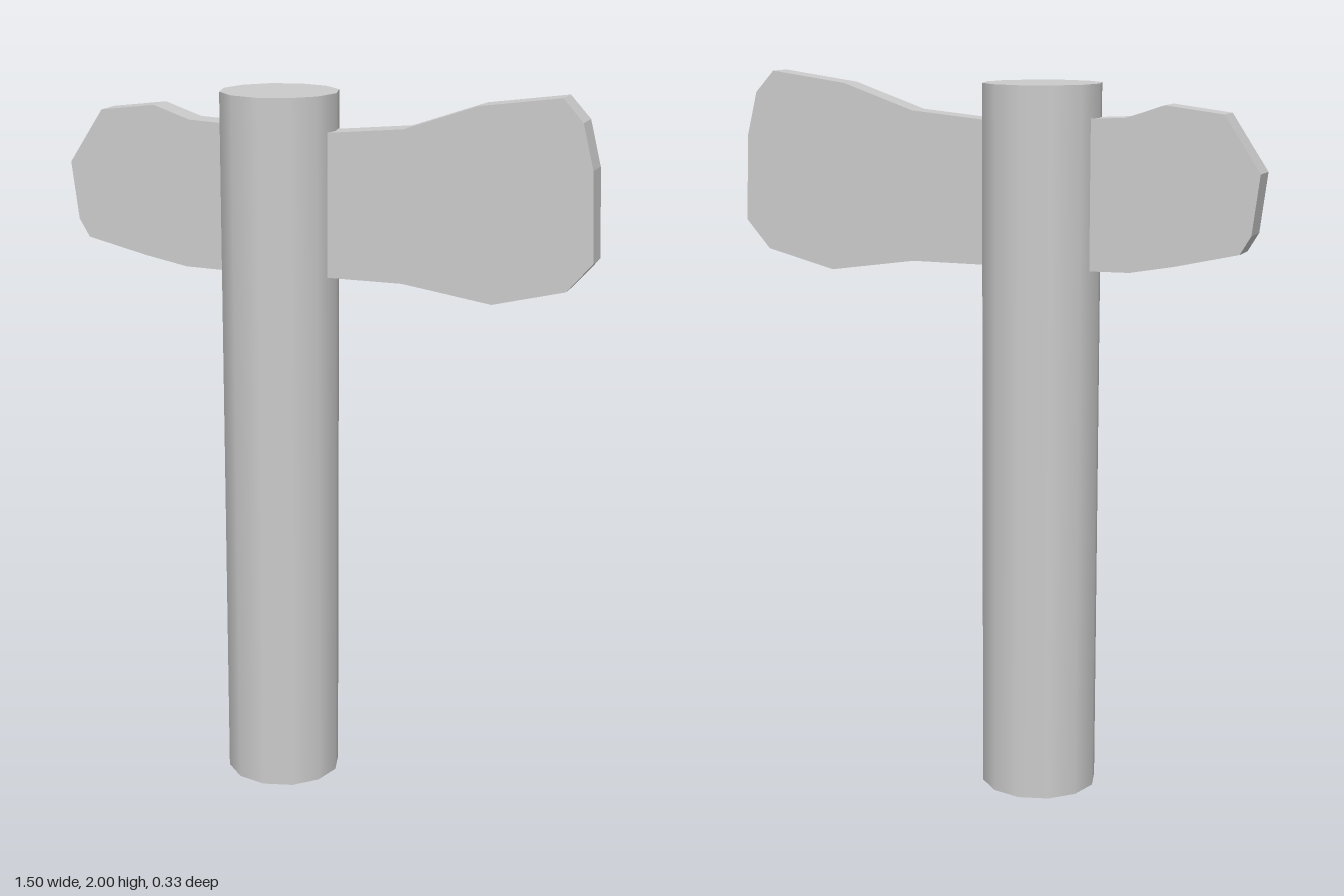
import * as THREE from 'three';

const HANDLE_X = -0.135, HANDLE_RADIUS = 0.163, HANDLE_HEIGHT = 1.98;
const HEAD_THICKNESS = 0.08;

// Head outline, clockwise from the top of the narrow end, passing through the handle
const HEAD_OUTLINE = [
  [-0.65, 1.91], [-0.49, 1.93], [-0.385, 1.895], [-0.285, 1.89],
  [0.02, 1.88], [0.23, 1.9], [0.435, 1.97], [0.655, 2.0], [0.71, 1.94],
  [0.74, 1.82], [0.75, 1.58], [0.68, 1.5], [0.48, 1.45], [0.23, 1.487],
  [0.02, 1.487], [-0.285, 1.485], [-0.4, 1.487], [-0.525, 1.51],
  [-0.7, 1.55], [-0.73, 1.6], [-0.75, 1.76],
];

export function createModel() {
  const group = new THREE.Group();

  // Round twelve-sided handle with smooth sides
  const handle = new THREE.Mesh(
    new THREE.CylinderGeometry(HANDLE_RADIUS, HANDLE_RADIUS, HANDLE_HEIGHT, 12),
    new THREE.MeshStandardMaterial({ color: 0xcccccc })
  );
  handle.name = 'handle';
  handle.position.set(HANDLE_X, HANDLE_HEIGHT / 2, 0);
  group.add(handle);

  // Flat axe head: wide blade on one side, short poll on the other
  const shape = new THREE.Shape(HEAD_OUTLINE.map(([x, y]) => new THREE.Vector2(x, y)));
  const headGeometry = new THREE.ExtrudeGeometry(shape, { depth: HEAD_THICKNESS, bevelEnabled: false });
  headGeometry.translate(0, 0, -HEAD_THICKNESS / 2);
  const head = new THREE.Mesh(
    headGeometry,
    new THREE.MeshStandardMaterial({ color: 0xcccccc, flatShading: true })
  );
  head.name = 'axeHead';
  group.add(head);

  return group;
}
